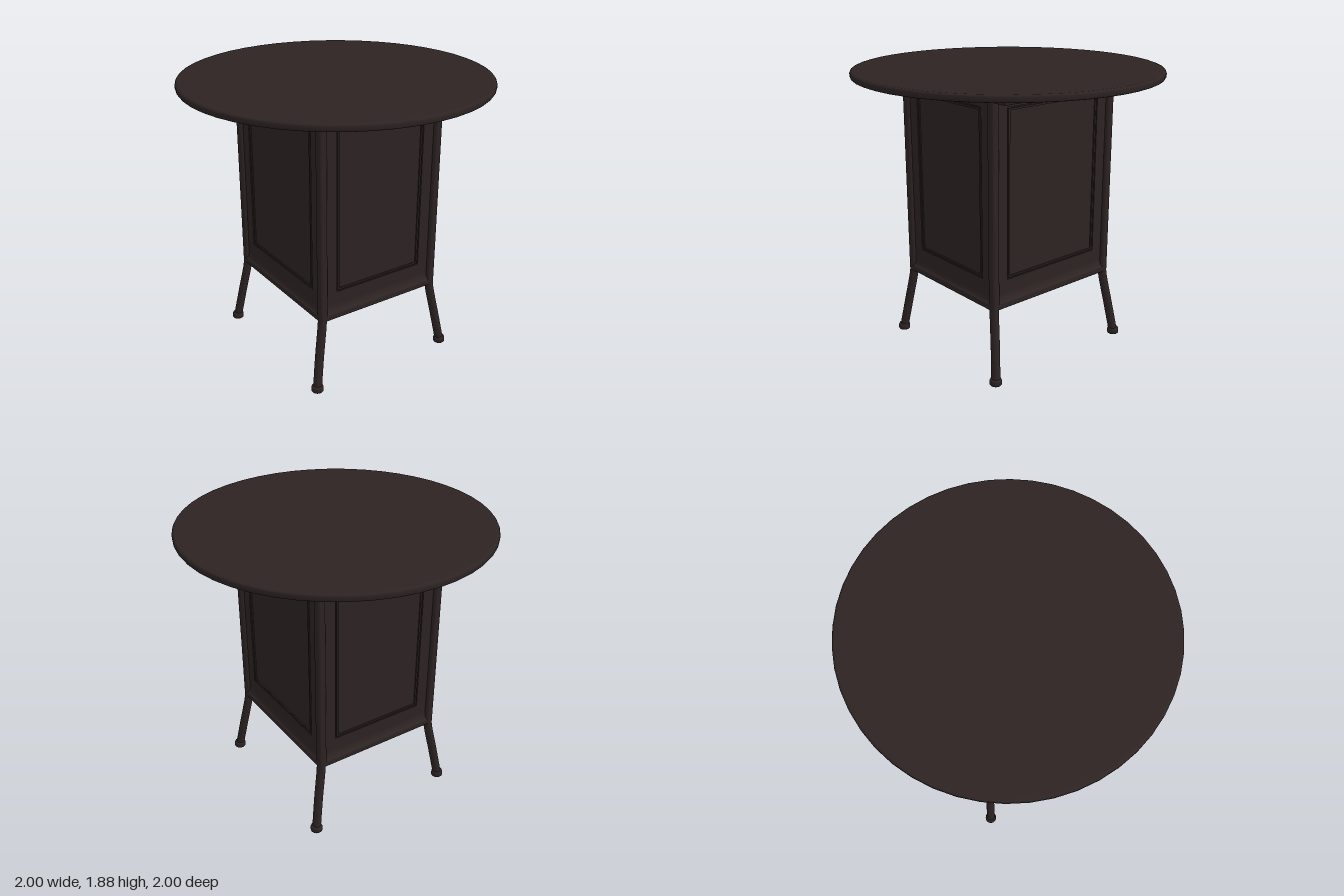
import * as THREE from 'three';
import { RoundedBoxGeometry } from 'three/addons/geometries/RoundedBoxGeometry.js';

const HX = 0.46, HZ = 0.513;          // outer half sizes of the base
const POST = 0.056, RAIL_Y = 0.465;

const wood = new THREE.MeshStandardMaterial({ color: 0x2d2323 });
wood.name = 'dark brown wood';

function add(parent, name, geometry, x = 0, y = 0, z = 0) {
  const mesh = new THREE.Mesh(geometry, wood);
  mesh.name = name;
  mesh.position.set(x, y, z);
  parent.add(mesh);
  return mesh;
}

function rect(path, hw, y0, y1) {
  path.moveTo(-hw, y0);
  path.lineTo(hw, y0);
  path.lineTo(hw, y1);
  path.lineTo(-hw, y1);
  path.closePath();
  return path;
}

// Rectangular picture-frame slab whose front face lies at z = front
function frame(parent, name, outer, inner, front, depth) {
  const shape = rect(new THREE.Shape(), ...outer);
  shape.holes.push(rect(new THREE.Path(), ...inner));
  const geo = new THREE.ExtrudeGeometry(shape, { depth, bevelEnabled: false });
  return add(parent, name, geo, 0, 0, front - depth);
}

// One wall of the base: grooved panel, bottom moulding and rail, facing +z
function wall(half, dist) {
  const g = new THREE.Group();
  g.name = 'sidePanel';
  const hw = half - 0.05, face = dist - 0.024, inset = half - 0.135, top = 1.815;
  frame(g, 'panelFrame', [hw, 0.49, top], [inset, 0.645, 1.725], face, 0.02);
  frame(g, 'panelBead', [inset - 0.008, 0.653, 1.717], [inset - 0.02, 0.665, 1.705], face, 0.012);
  add(g, 'panelField', new THREE.BoxGeometry(2 * inset, 1.08, 0.012), 0, 1.185, face - 0.014);

  // Sloped moulding where the panel meets the rail
  const slope = new THREE.Shape();
  slope.moveTo(0, 0.505);
  slope.lineTo(0.02, 0.51);
  slope.quadraticCurveTo(0.004, 0.52, 0, 0.555);
  slope.closePath();
  const moulding = new THREE.ExtrudeGeometry(slope, { depth: 2 * hw, bevelEnabled: false });
  moulding.rotateY(-Math.PI / 2);
  moulding.rotateY(Math.PI);
  moulding.scale(1, 1, 1);
  moulding.computeBoundingBox();
  const b = moulding.boundingBox;
  // Put the profile's back on the panel face with its toe pointing outwards
  if (b.max.z < 0.01) moulding.rotateY(Math.PI);
  moulding.computeBoundingBox();
  const c = moulding.boundingBox;
  moulding.translate(-(c.min.x + c.max.x) / 2, 0, face - c.min.z);
  add(g, 'panelMoulding', moulding);

  add(g, 'bottomRail', new RoundedBoxGeometry(2 * half - 0.04, 0.046, 0.05, 3, 0.012), 0, RAIL_Y + 0.023, dist - 0.027);
  return g;
}

export function createModel() {
  const table = new THREE.Group();
  table.name = 'roundTable';

  // Round top with softened edge
  const profile = [[0, 1.83], [0.985, 1.83], [0.995, 1.834], [1, 1.842], [1, 1.863], [0.995, 1.871], [0.985, 1.875], [0, 1.875]];
  const points = [];
  profile.forEach(([r, y], i) => {
    points.push(new THREE.Vector2(r, y));
    if (i === 0) points.push(new THREE.Vector2(0.984, 1.83));
    if (i === 6) points.push(new THREE.Vector2(0.98, 1.875));
  });
  add(table, 'tableTop', new THREE.LatheGeometry(points, 48));

  // Four panelled walls
  for (const side of [0, 1, 2, 3]) {
    const w = side % 2 ? wall(HZ, HX) : wall(HX, HZ);
    w.rotation.y = side * Math.PI / 2;
    table.add(w);
  }

  // Floor of the base
  add(table, 'baseFloor', new THREE.BoxGeometry(2 * HX - 0.05, 0.02, 2 * HZ - 0.05), 0, RAIL_Y + 0.015, 0);

  // Corner posts, splayed legs and feet
  const footProfile = [[0, 0], [0.034, 0], [0.039, 0.006], [0.039, 0.03], [0.034, 0.042], [0, 0.046]]
    .map(([r, y]) => new THREE.Vector2(r, y));
  for (const sx of [-1, 1]) {
    for (const sz of [-1, 1]) {
      const x = sx * (HX - POST / 2), z = sz * (HZ - POST / 2);
      add(table, 'cornerPost', new RoundedBoxGeometry(POST, 1.83 - RAIL_Y, POST, 4, 0.018), x, (1.83 + RAIL_Y) / 2, z);
      add(table, 'postCap', new THREE.BoxGeometry(0.075, 0.008, 0.075), x, 1.827, z);
      const path = new THREE.CatmullRomCurve3([
        new THREE.Vector3(x, 0.51, z),
        new THREE.Vector3(x + sx * 0.004, 0.45, z + sz * 0.003),
        new THREE.Vector3(sx * 0.475, 0.23, sz * 0.513),
        new THREE.Vector3(sx * 0.51, 0.02, sz * 0.54),
      ]);
      add(table, 'leg', new THREE.TubeGeometry(path, 12, 0.029, 16));
      add(table, 'foot', new THREE.LatheGeometry(footProfile, 20), sx * 0.51, 0, sz * 0.54);
    }
  }

  // Bearers under the top, with chamfered lower edges and ends
  for (const sx of [-1, 1]) {
    const bearer = new THREE.BoxGeometry(0.13, 0.048, 1.13);
    const p = bearer.attributes.position;
    for (let i = 0; i < p.count; i++) {
      if (p.getY(i) < 0) p.setXYZ(i, p.getX(i) * 0.85, p.getY(i), p.getZ(i) * 0.965);
    }
    bearer.computeVertexNormals();
    add(table, 'topBearer', bearer, sx * 0.555, 1.806, 0);
    add(table, 'bearerPlate', new THREE.BoxGeometry(0.1, 0.008, 1.17), sx * 0.555, 1.826, 0);
  }
  return table;
}
